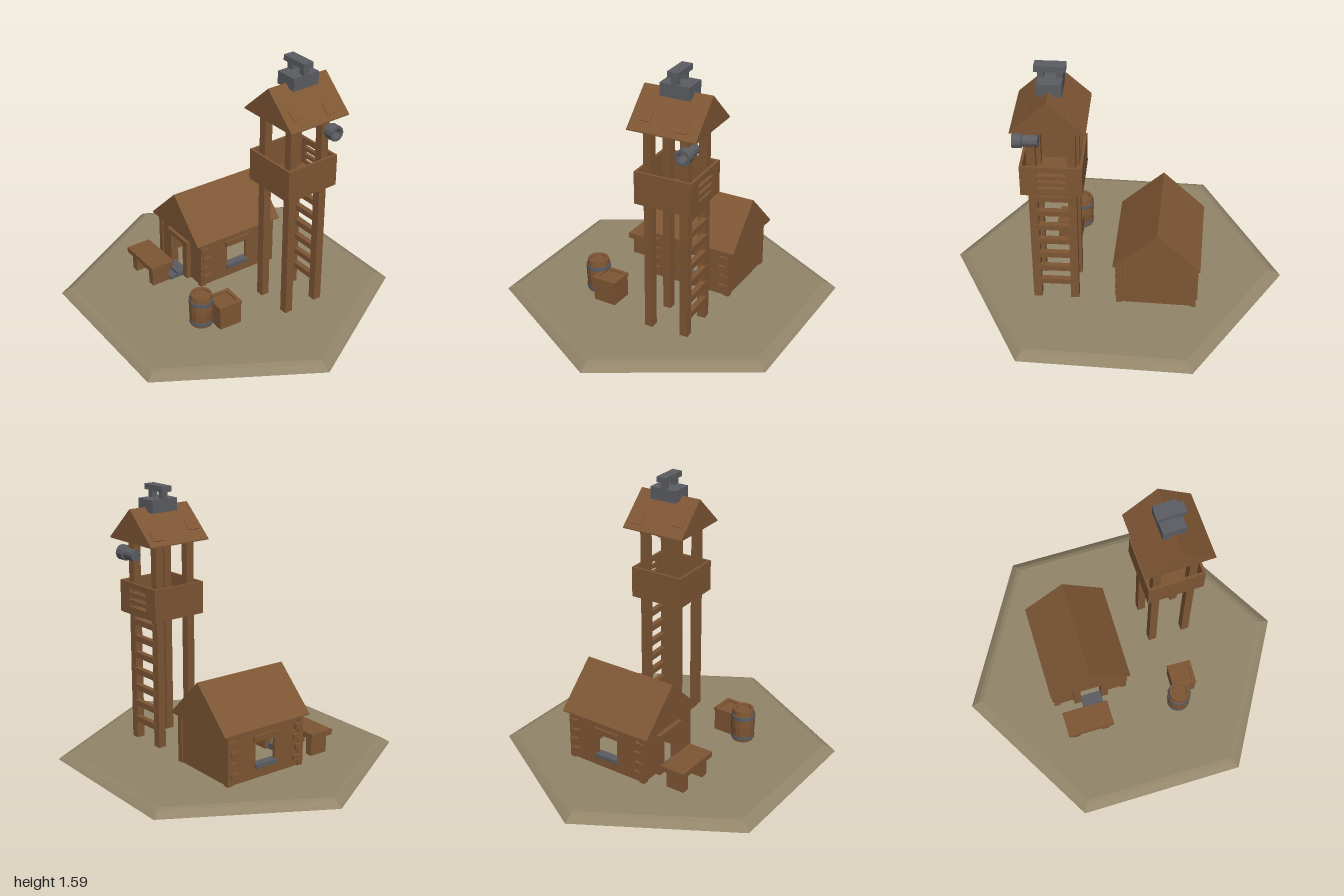
import * as THREE from 'three';

const mat = (name, color) => {
  const m = new THREE.MeshStandardMaterial({ color });
  m.name = name;
  return m;
};

export function createModel() {
  const wood = mat('wood', 0x7e5634);
  const metal = mat('grey stone', 0x5b5d62);
  const sand = mat('sand', 0x92856a);
  sand.side = THREE.DoubleSide;
  const FOOT = 0.01; // parts reach down through the hollow ground tile
  const model = new THREE.Group();

  const add = (parent, name, geo, material, x = 0, y = 0, z = 0) => {
    const mesh = new THREE.Mesh(geo, material);
    mesh.name = name;
    mesh.position.set(x, y, z);
    parent.add(mesh);
    return mesh;
  };
  // box given by its bottom and top heights
  const box = (parent, name, material, w, d, y0, y1, x = 0, z = 0) =>
    add(parent, name, new THREE.BoxGeometry(w, y1 - y0, d), material, x, (y0 + y1) / 2, z);
  const group = (name, x, z, degrees) => {
    const g = new THREE.Group();
    g.name = name;
    g.position.set(x, 0, z);
    g.rotation.y = THREE.MathUtils.degToRad(degrees);
    model.add(g);
    return g;
  };
  const rect = (Type, w, y0, y1) => new Type([[-w / 2, y0], [w / 2, y0], [w / 2, y1], [-w / 2, y1]]
    .map(p => new THREE.Vector2(...p)));
  // upright wall with one rectangular opening, centred on its own thickness
  const wall = (parent, name, w, y0, y1, hole, thick, x, z, turn) => {
    const shape = rect(THREE.Shape, w, y0, y1);
    if (hole) shape.holes.push(rect(THREE.Path, ...hole));
    const geo = new THREE.ExtrudeGeometry(shape, { depth: thick, bevelEnabled: false });
    geo.translate(0, 0, -thick / 2);
    add(parent, name, geo, wood, x, 0, z).rotation.y = turn;
  };
  // solid gable roof with its ridge along z
  const gable = (parent, name, w, d, y0, y1) => {
    const shape = new THREE.Shape([[-w / 2, y0], [w / 2, y0], [w / 2, y0 + 0.006], [0, y1], [-w / 2, y0 + 0.006]]
      .map(p => new THREE.Vector2(...p)));
    const geo = new THREE.ExtrudeGeometry(shape, { depth: d, bevelEnabled: false });
    geo.translate(0, 0, -d / 2);
    add(parent, name, geo, wood);
  };
  // faceted turned shape
  const lathe = (points, sides) => {
    const geo = new THREE.LatheGeometry(points.map(p => new THREE.Vector2(...p)), sides).toNonIndexed();
    geo.computeVertexNormals();
    return geo;
  };

  // hollow six-sided ground tile, open underneath
  add(model, 'groundTile', lathe([[1, 0], [0.985, 0.012], [0.955, 0.031], [0.925, 0.04], [0, 0.04]], 6), sand);

  // cabin
  const cabin = group('cabin', -0.172, -0.219, -30);
  gable(cabin, 'cabinRoof', 0.505, 0.602, 0.34, 0.59);
  wall(cabin, 'frontWall', 0.45, FOOT, 0.345, [0.13, 0.03, 0.27], 0.02, 0, 0.25, 0);
  wall(cabin, 'backWall', 0.45, FOOT, 0.345, null, 0.02, 0, -0.25, 0);
  for (const s of [-1, 1]) {
    wall(cabin, 'sideWall', 0.5, FOOT, 0.345, [0.14, 0.12, 0.26], 0.02, s * 0.215, 0, Math.PI / 2);
    box(cabin, 'windowLintel', wood, 0.035, 0.17, 0.26, 0.295, s * 0.22, 0);
    box(cabin, 'windowSill', metal, 0.05, 0.15, 0.1, 0.125, s * 0.215, 0);
    box(cabin, 'doorPost', wood, 0.045, 0.05, FOOT, 0.3, s * 0.088, 0.265);
    for (const e of [-1, 1]) {
      box(cabin, 'cornerPost', wood, 0.035, 0.035, FOOT, 0.345, s * 0.217, e * 0.251);
      for (let i = 0; i < 4; i++)
        box(cabin, 'logEnd', wood, 0.032, 0.052, 0.08 + i * 0.063, 0.112 + i * 0.063,
          s * 0.227, e * (0.225 + 0.012 * (i % 2)));
    }
  }
  box(cabin, 'doorLintel', wood, 0.22, 0.05, 0.27, 0.3, 0, 0.265);

  // doorstep stones
  box(cabin, 'doorstep', metal, 0.13, 0.07, FOOT, 0.075, 0, 0.295);
  for (const s of [-1, 1])
    box(cabin, 'doorstepStone', metal, 0.06, 0.05, FOOT, 0.06, s * 0.034, 0.357);

  // bench
  const bench = group('bench', -0.447, 0.133, -30);
  for (const s of [-1, 1]) {
    box(bench, 'benchPlank', wood, 0.288, 0.077, 0.152, 0.185, 0, s * 0.039);
    box(bench, 'benchLeg', wood, 0.045, 0.115, FOOT, 0.155, s * 0.095, 0);
  }

  // watchtower
  const tower = group('watchtower', 0.405, -0.026, -28);
  for (const x of [-0.11, 0.11]) for (const z of [-0.11, 0.11])
    box(tower, 'towerLeg', wood, 0.049, 0.049, FOOT, 1.285, x, z);
  for (let i = 0; i < 7; i++)
    box(tower, 'ladderRung', wood, 0.21, 0.032, 0.76 - i * 0.102, 0.795 - i * 0.102, 0, -0.125);
  box(tower, 'platformFloor', wood, 0.335, 0.335, 0.83, 0.855);
  wall(tower, 'frontParapet', 0.345, 0.828, 1.02, null, 0.016, 0, 0.1645, 0);
  wall(tower, 'backParapet', 0.345, 0.828, 1.02, [0.16, 0.875, 0.985], 0.016, 0, -0.1645, 0);
  for (const s of [-1, 1])
    wall(tower, 'sideParapet', 0.313, 0.828, 1.02, null, 0.016, s * 0.1645, 0, Math.PI / 2);
  for (const y of [0.895, 0.94])
    box(tower, 'parapetSlat', wood, 0.19, 0.02, y, y + 0.024, 0, -0.165);
  const towerRoof = new THREE.Group();
  towerRoof.name = 'towerRoof';
  towerRoof.position.set(0.003, 0, -0.009);
  tower.add(towerRoof);
  gable(towerRoof, 'roofGable', 0.405, 0.407, 1.27, 1.465);
  // loose shingles nearly flush with the slopes
  const slope = Math.atan2(0.189, 0.2025);
  for (const [x, z] of [[0.13, 0.12], [0.15, -0.1], [-0.15, -0.13], [-0.12, 0.14]]) {
    const shingle = add(towerRoof, 'shingle', new THREE.BoxGeometry(0.075, 0.008, 0.07), wood,
      x, 1.465 - Math.abs(x) * 0.933, z);
    shingle.rotation.z = -Math.sign(x) * slope;
  }

  // chimney on the ridge
  box(towerRoof, 'chimneyBase', metal, 0.135, 0.175, 1.435, 1.51, -0.004, -0.008);
  for (const s of [-1, 1])
    box(towerRoof, 'chimneyPost', metal, 0.036, 0.036, 1.48, 1.556, s * 0.05 - 0.004, -0.006);
  box(towerRoof, 'chimneyCap', metal, 0.17, 0.065, 1.552, 1.585, -0.004, -0.006);

  // spyglass on the rear post, an open tube with a wider far end
  const spyglass = add(tower, 'spyglass', lathe([[0, 0], [0.035, 0], [0.035, 0.085], [0.046, 0.088],
    [0.046, 0.14], [0.03, 0.14], [0.027, 0.07], [0, 0.07]], 12), metal, 0.064, 1.175, -0.133);
  spyglass.rotation.z = -Math.PI / 2;

  // barrel
  const barrel = group('barrel', 0.05, 0.439, 0);
  add(barrel, 'barrelBody', lathe([[0.062, FOOT], [0.068, 0.08], [0.072, 0.14], [0.069, 0.2], [0.063, 0.245],
    [0.048, 0.245], [0.046, 0.232], [0, 0.232]], 14), wood);
  for (const [y, r] of [[0.065, 0.071], [0.2, 0.074]])
    add(barrel, 'barrelHoop', new THREE.CylinderGeometry(r, r, 0.022, 14), metal, 0, y, 0);

  // crate with a framed lid
  const crate = group('crate', 0.159, 0.362, -32);
  box(crate, 'crateLid', wood, 0.13, 0.13, 0.165, 0.18);
  for (const s of [-1, 1]) {
    box(crate, 'crateSide', wood, 0.142, 0.012, FOOT, 0.175, 0, s * 0.065);
    box(crate, 'crateSide', wood, 0.012, 0.118, FOOT, 0.175, s * 0.065, 0);
    box(crate, 'crateRim', wood, 0.15, 0.022, 0.172, 0.19, 0, s * 0.064);
    box(crate, 'crateRim', wood, 0.022, 0.106, 0.172, 0.19, s * 0.064, 0);
  }
  return model;
}
